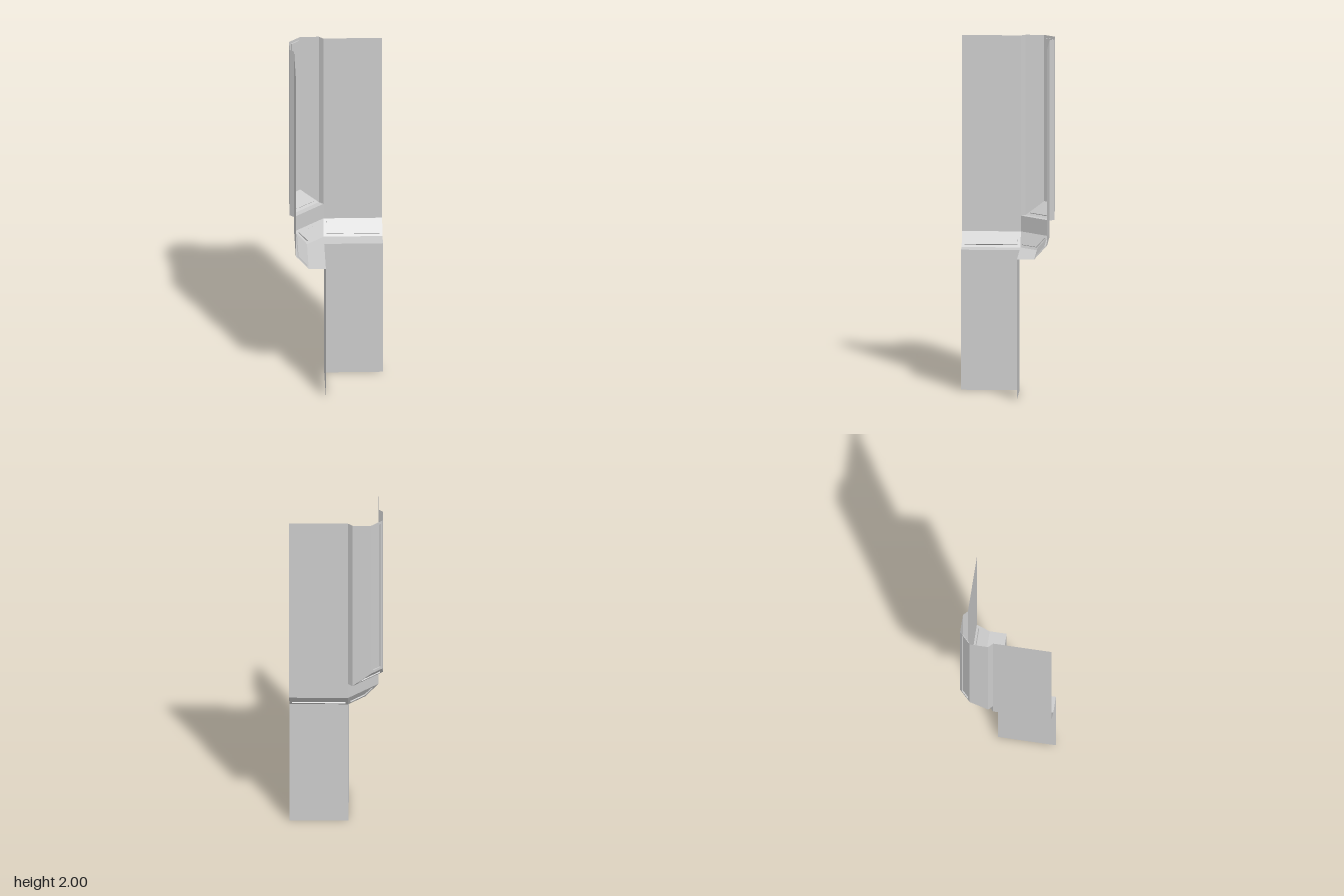
import * as THREE from 'three';

const material = new THREE.MeshStandardMaterial({
  color: 0xcccccc, flatShading: true, side: THREE.DoubleSide,
});

// Plan positions, measured outwards from the room's corner
const END = 0.262;     // open ends of both walls
const LOW = -0.07;     // lower wall face and edge of the corner
const SHELF = -0.167;  // back of the shelf
const HIGH = -0.24;    // upper wall face
const JAMB = -0.095;   // inner edge of the niche jambs
const DEEP = -0.265;   // niche side walls
const BACK = -0.2;     // edges of the niche back
// Heights
const Y_SHELF = 0.8, Y_WALL = 0.88, Y_NICHE = 0.97, Y_BACK = 1.05, Y_TOP = 2;

const v = (x, y, z) => new THREE.Vector3(x, y, z);

// Mirror across the diagonal of the corner, keeping the winding outward
const mirror = (pts) => pts.map((p) => v(p.z, p.y, p.x)).reverse();

// Upright quad between two plan points, with its own base height at each
const upright = ([x0, z0], [x1, z1], y0, y1, top) =>
  [v(x0, y0, z0), v(x1, y1, z1), v(x1, top, z1), v(x0, top, z0)];

// Mesh from convex polygons
function surface(name, ...polygons) {
  const pts = [];
  for (const p of polygons)
    for (let i = 1; i < p.length - 1; i++) pts.push(p[0], p[i], p[i + 1]);
  const geometry = new THREE.BufferGeometry().setFromPoints(pts);
  geometry.computeVertexNormals();
  const mesh = new THREE.Mesh(geometry, material);
  mesh.name = name;
  return mesh;
}

// Polygon with a panel pressed forward out of it: frame, rim and cap
function embossed(name, outer, margin = 0.016, height = 0.007) {
  const n = outer.length;
  const dir = (i) => outer[(i + 1) % n].clone().sub(outer[i % n]).normalize();
  const normal = dir(0).cross(dir(1)).normalize();
  const inner = outer.map((p, i) => {
    const a = normal.clone().cross(dir(i + n - 1));
    const b = normal.clone().cross(dir(i));
    const scale = margin / (1 + a.dot(b));
    return p.clone().addScaledVector(a.add(b), scale);
  });
  const cap = inner.map((p) => p.clone().addScaledVector(normal, height));
  const band = (from, to) => from.map((p, i) => {
    const j = (i + 1) % n;
    return [p, from[j], to[j], to[i]];
  });
  return surface(name, ...band(outer, inner), ...band(inner, cap), cap);
}

export function createModel() {
  const model = new THREE.Group();
  model.name = 'wallCorner';

  // Parts that appear on both walls
  const pair = (build, name, pts) =>
    model.add(build('back' + name, pts), build('side' + name, mirror(pts)));

  pair(surface, 'LowerWall', upright([LOW, LOW], [END, LOW], 0, 0, Y_SHELF));
  pair(surface, 'Shelf', [
    v(LOW, Y_SHELF, LOW), v(END, Y_SHELF, LOW),
    v(END, Y_SHELF, SHELF), v(LOW, Y_SHELF, SHELF),
  ]);
  pair(embossed, 'SlopedPanel', [
    v(LOW, Y_SHELF, SHELF), v(END, Y_SHELF, SHELF),
    v(END, Y_WALL, HIGH), v(LOW, Y_WALL, HIGH),
  ]);
  pair(surface, 'UpperWall', upright([LOW, HIGH], [END, HIGH], Y_WALL, Y_WALL, Y_TOP));
  pair(surface, 'NicheJamb', upright([JAMB, DEEP], [LOW, HIGH], Y_NICHE, Y_NICHE, Y_TOP));
  pair(surface, 'NicheWall', upright([BACK, DEEP], [JAMB, DEEP], Y_BACK, Y_NICHE, Y_TOP));

  // Diagonal parts in the corner
  model.add(
    surface('cornerShelf', [
      v(LOW, Y_SHELF, LOW), v(LOW, Y_SHELF, SHELF), v(SHELF, Y_SHELF, LOW),
    ]),
    embossed('cornerSlopedPanel', [
      v(SHELF, Y_SHELF, LOW), v(LOW, Y_SHELF, SHELF),
      v(LOW, Y_WALL, HIGH), v(HIGH, Y_WALL, LOW),
    ]),
    surface('cornerWall', upright([HIGH, LOW], [LOW, HIGH], Y_WALL, Y_WALL, Y_NICHE)),
    surface('nicheSill', [
      v(HIGH, Y_NICHE, LOW), v(LOW, Y_NICHE, HIGH),
      v(JAMB, Y_NICHE, DEEP), v(DEEP, Y_NICHE, JAMB),
    ]),
    embossed('nicheSlopedPanel', [
      v(DEEP, Y_NICHE, JAMB), v(JAMB, Y_NICHE, DEEP),
      v(BACK, Y_BACK, DEEP), v(DEEP, Y_BACK, BACK),
    ]),
    embossed('nicheBackPanel', upright([DEEP, BACK], [BACK, DEEP], Y_BACK, Y_BACK, Y_TOP)),
  );
  return model;
}
